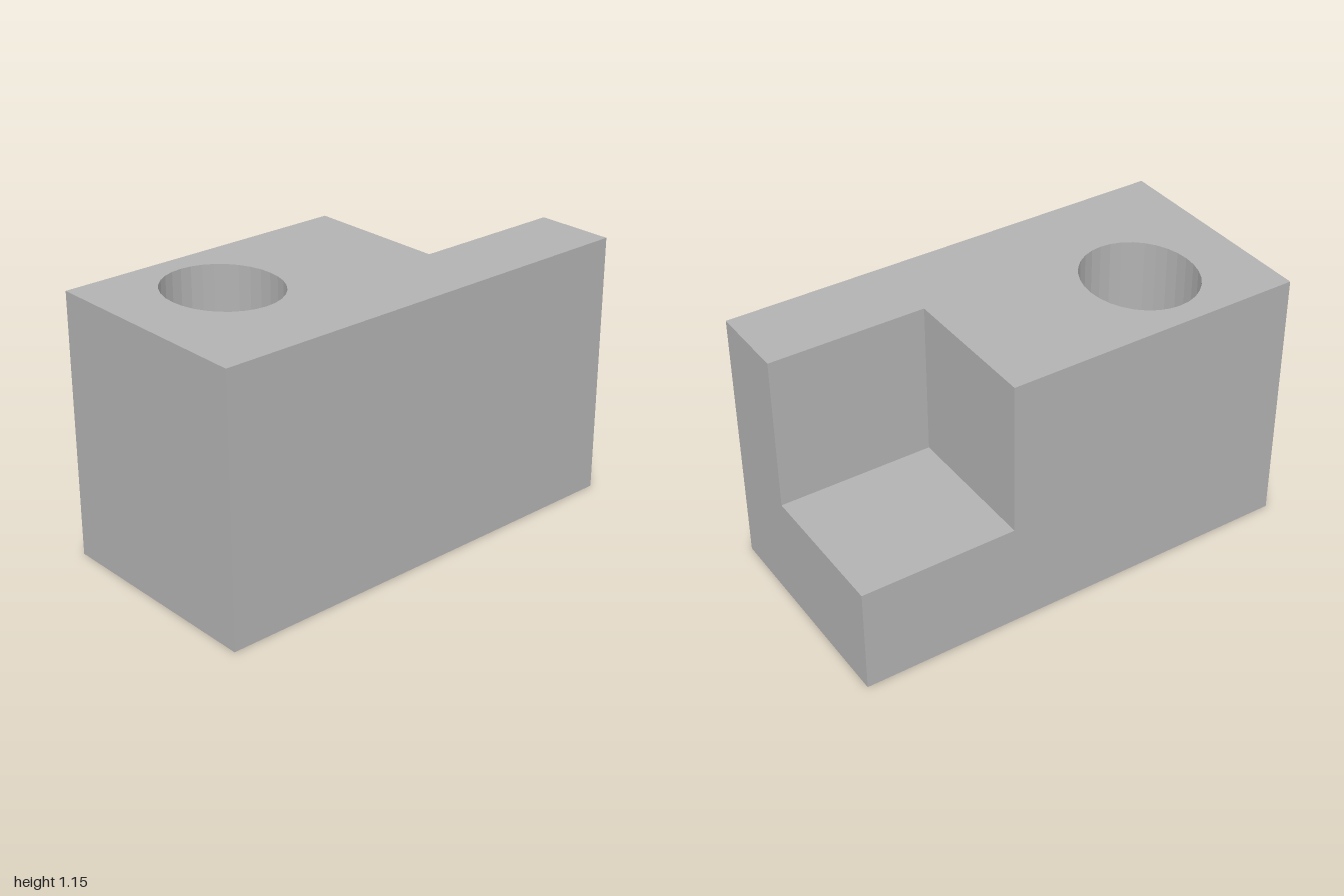
import * as THREE from 'three';

// Half width and depth, height, and the corner notch (from x = A, z < N, above y = S)
const W = 1, D = 0.493, T = 1.154;
const A = 0.318, N = 0.145, S = 0.473;
// Oval pocket in the top face
const HOLE = { x: -0.528, z: -0.124, rx: 0.237, rz: 0.266, floor: S, sides: 32 };

const rim = (i, y) => {
  const t = (i % HOLE.sides) / HOLE.sides * Math.PI * 2;
  return [HOLE.x + HOLE.rx * Math.cos(t), y, HOLE.z - HOLE.rz * Math.sin(t)];
};

// Flat faces, each a fan of triangles from its first corner (counter-clockwise from outside)
function facesGeometry(faces) {
  const pos = [];
  for (const f of faces)
    for (let i = 1; i < f.length - 1; i++) pos.push(...f[0], ...f[i], ...f[i + 1]);
  const g = new THREE.BufferGeometry();
  g.setAttribute('position', new THREE.Float32BufferAttribute(pos, 3));
  g.computeVertexNormals();
  return g;
}

export function createModel() {
  const group = new THREE.Group();
  group.name = 'notchedBlock';
  const grey = new THREE.MeshStandardMaterial({ color: 0xb2b2b2 });
  grey.name = 'grey';
  const add = (name, geometry) => {
    const mesh = new THREE.Mesh(geometry, grey);
    mesh.name = name;
    group.add(mesh);
  };

  // Outer walls and underside; the L-shaped walls fan from their inner corner
  add('blockSides', facesGeometry([
    [[-W, 0, D], [W, 0, D], [W, T, D], [-W, T, D]],
    [[-W, 0, -D], [-W, 0, D], [-W, T, D], [-W, T, -D]],
    [[-W, 0, -D], [W, 0, -D], [W, 0, D], [-W, 0, D]],
    [[W, S, N], [W, T, N], [W, T, D], [W, 0, D], [W, 0, -D], [W, S, -D]],
    [[A, S, -D], [W, S, -D], [W, 0, -D], [-W, 0, -D], [-W, T, -D], [A, T, -D]],
  ]));

  // Notch: two walls and the ledge
  add('cornerNotch', facesGeometry([
    [[A, S, N], [A, S, -D], [A, T, -D], [A, T, N]],
    [[W, S, N], [A, S, N], [A, T, N], [W, T, N]],
    [[A, S, N], [W, S, N], [W, S, -D], [A, S, -D]],
  ]));

  // L-shaped top with the oval opening
  const outline = [[-W, D], [W, D], [W, N], [A, N], [A, -D], [-W, -D]];
  const top = new THREE.Shape(outline.map(([x, z]) => new THREE.Vector2(x, -z)));
  const ring = Array.from({ length: HOLE.sides }, (_, i) => rim(i, T));
  top.holes.push(new THREE.Path(ring.map(([x, , z]) => new THREE.Vector2(x, -z))));
  add('topFace', new THREE.ShapeGeometry(top).rotateX(-Math.PI / 2).translate(0, T, 0));

  // Faceted pocket wall, facing inward, and its floor
  const pocket = ring.map((p, i) => [rim(i + 1, HOLE.floor), rim(i, HOLE.floor), p, rim(i + 1, T)]);
  pocket.push(ring.map((_, i) => rim(i, HOLE.floor)));
  add('ovalPocket', facesGeometry(pocket));

  return group;
}
